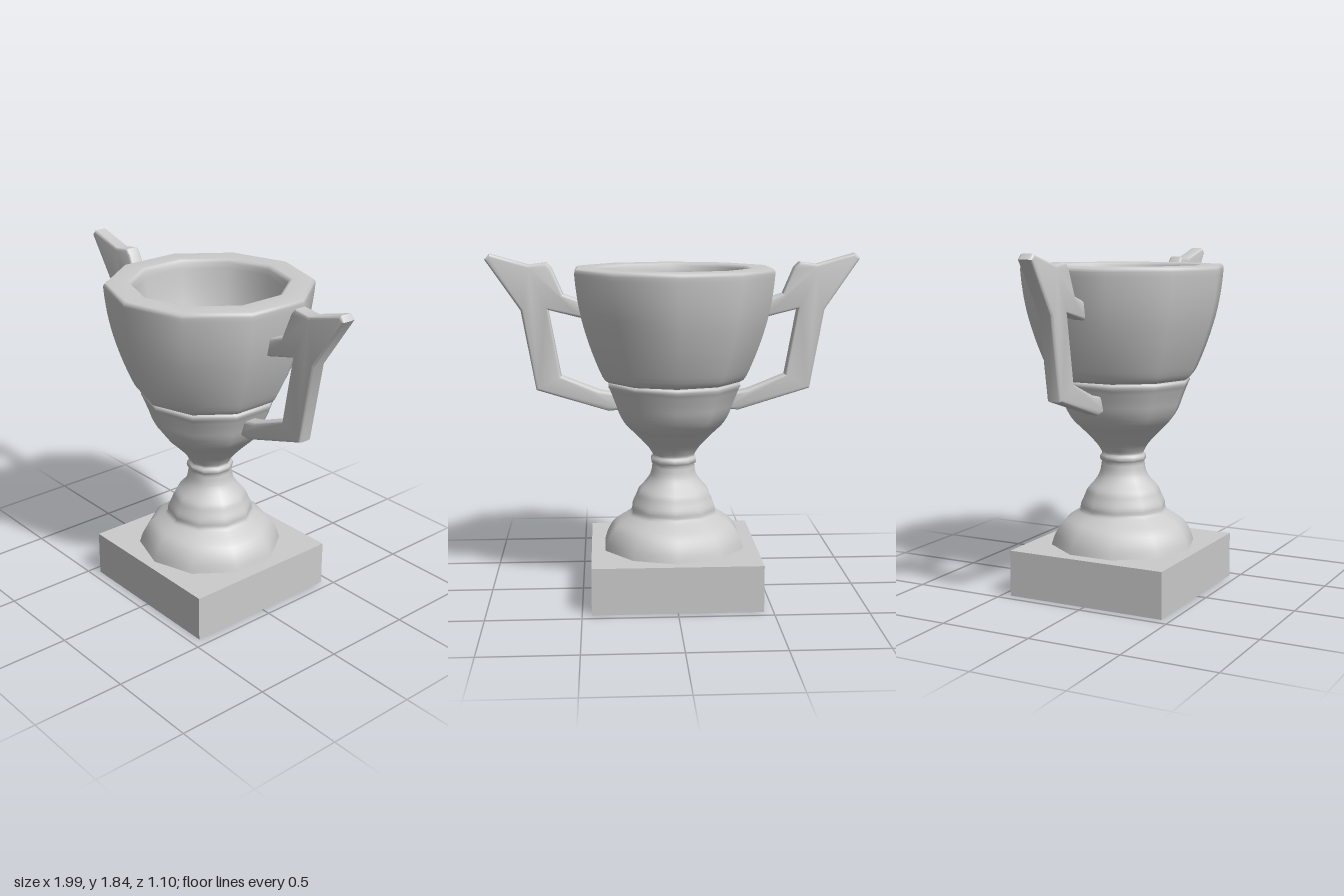
import * as THREE from 'three';
import { toCreasedNormals } from 'three/addons/utils/BufferGeometryUtils.js';

const SIDES = 10;
const vectors = (points) => points.map(([x, y]) => new THREE.Vector2(x, y));
const smooth = (points, n) => new THREE.SplineCurve(vectors(points)).getPoints(n);

export function createModel() {
  const material = new THREE.MeshStandardMaterial({ color: 0xcccccc });
  const trophy = new THREE.Group();
  trophy.name = 'trophy';

  const add = (name, geometry) => {
    const mesh = new THREE.Mesh(geometry, material);
    mesh.name = name;
    trophy.add(mesh);
    return mesh;
  };

  // Square plinth
  add('plinth', new THREE.BoxGeometry(0.9, 0.25, 0.9)).position.y = 0.125;

  // Stepped foot, stem with ring, and the flaring lower bowl
  const foot = smooth([
    [0.395, 0.25], [0.375, 0.31], [0.335, 0.37], [0.27, 0.415], [0.238, 0.44],
    [0.233, 0.475], [0.213, 0.52], [0.195, 0.56], [0.155, 0.605], [0.128, 0.65], [0.117, 0.71],
  ], 30);
  const ring = vectors([[0.125, 0.717], [0.128, 0.73], [0.125, 0.743], [0.115, 0.75]]);
  const lowerBowl = smooth([
    [0.116, 0.76], [0.14, 0.8], [0.185, 0.85], [0.225, 0.89], [0.275, 0.94],
    [0.31, 1.0], [0.332, 1.06], [0.36, 1.13],
  ], 20);
  const collar = vectors([[0.369, 1.145], [0.367, 1.16], [0.355, 1.168], [0, 1.168]]);
  add('stem', new THREE.LatheGeometry([...foot, ...ring, ...lowerBowl, ...collar], SIDES));

  // Hollow cup: outer wall, rounded rim, inner bowl
  const outerWall = smooth([
    [0.385, 1.18], [0.405, 1.21], [0.44, 1.29], [0.474, 1.38], [0.508, 1.49],
    [0.53, 1.59], [0.543, 1.68], [0.549, 1.745],
  ], 16);
  const rim = vectors([[0.547, 1.76], [0.535, 1.77], [0.43, 1.77], [0.415, 1.765], [0.406, 1.75]]);
  const innerWall = smooth([
    [0.402, 1.72], [0.38, 1.58], [0.34, 1.44], [0.26, 1.32], [0.14, 1.25], [0, 1.23],
  ], 16);
  add('cup', new THREE.LatheGeometry(
    [...vectors([[0, 1.168], [0.365, 1.168]]), ...outerWall, ...rim, ...innerWall], SIDES));

  // Angular winged handles with softened edges
  const outline = new THREE.Shape(vectors([
    [0.28, 1.01], [0.35, 1.003], [0.735, 1.12], [0.81, 1.545], [0.995, 1.815],
    [0.968, 1.842], [0.765, 1.785], [0.672, 1.797], [0.645, 1.77], [0.585, 1.63], [0.51, 1.605],
    [0.43, 1.585], [0.43, 1.49], [0.505, 1.508], [0.665, 1.548],
    [0.602, 1.195], [0.4, 1.115], [0.28, 1.09],
  ]));
  const bevel = 0.014;
  const handleGeometry = toCreasedNormals(new THREE.ExtrudeGeometry(outline, {
    depth: 0.08 - 2 * bevel, bevelThickness: bevel, bevelSize: bevel,
    bevelOffset: -bevel, bevelSegments: 3,
  }).translate(0, 0, bevel - 0.04), 0.6);
  add('leftHandle', handleGeometry);
  add('rightHandle', handleGeometry).rotation.y = Math.PI;

  return trophy;
}
